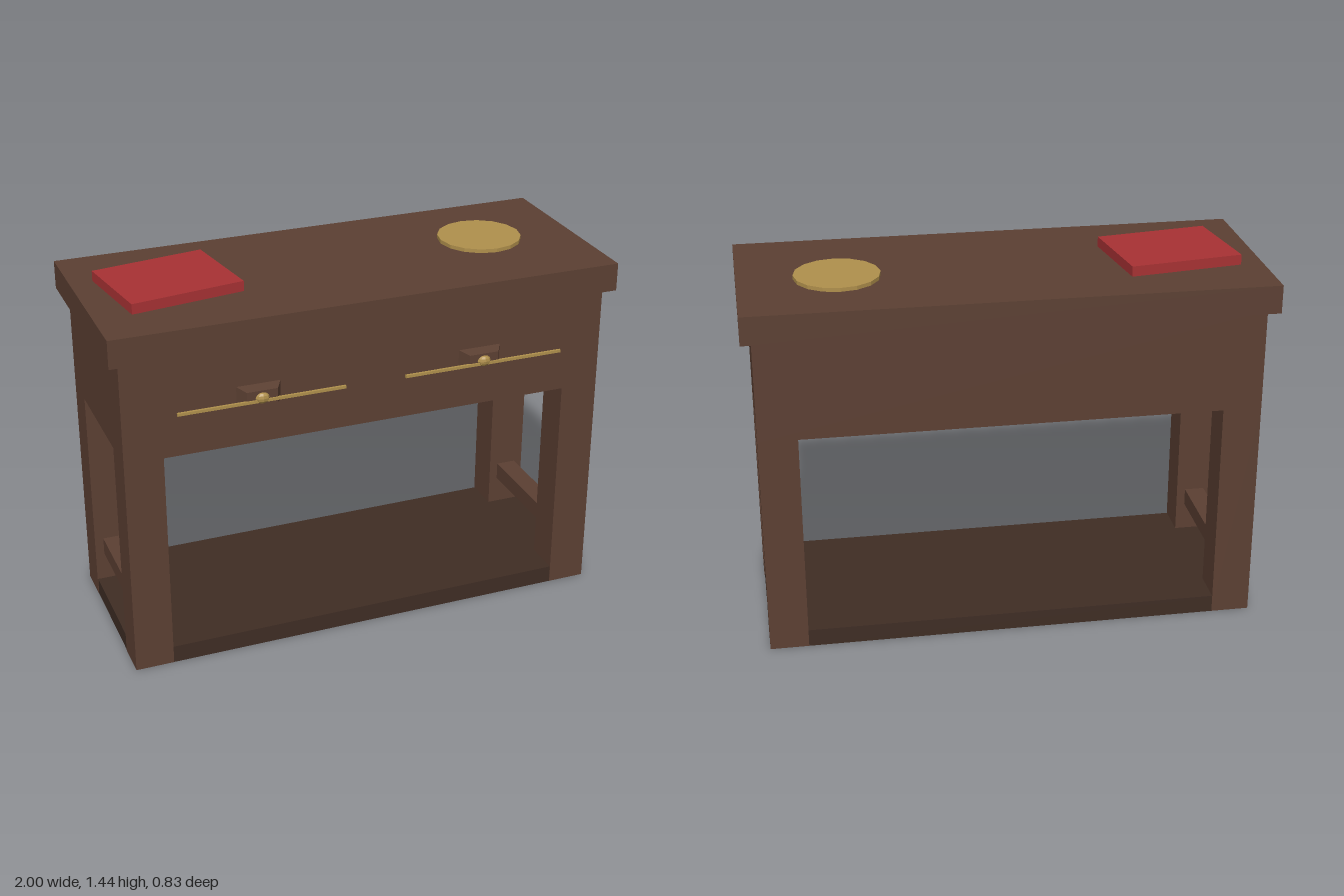
import * as THREE from 'three';

const paint = (color) => new THREE.MeshStandardMaterial({ color, flatShading: true });

export function createModel() {
  const wood = paint(0x5c4033);
  const darkWood = paint(0x3f2d24);
  const brass = paint(0xb0904c);
  const red = paint(0xa83234);

  const table = new THREE.Group();
  table.name = 'consoleTable';

  const add = (name, geometry, material, x, y, z) => {
    const mesh = new THREE.Mesh(geometry, material);
    mesh.name = name;
    mesh.position.set(x, y, z);
    table.add(mesh);
    return mesh;
  };

  // Box given by its lower and upper limits on each axis
  const box = (name, material, [x0, x1], [y0, y1], [z0, z1]) =>
    add(name, new THREE.BoxGeometry(x1 - x0, y1 - y0, z1 - z0), material,
      (x0 + x1) / 2, (y0 + y1) / 2, (z0 + z1) / 2);

  // Top, drawer case and bottom shelf
  box('tableTop', wood, [-1, 1], [1.29, 1.4], [-0.415, 0.39]);
  box('drawerCase', wood, [-0.96, 0.96], [0.89, 1.29], [-0.375, 0.355]);
  box('bottomShelf', darkWood, [-0.958, 0.958], [0, 0.07], [-0.373, 0.353]);

  // Block handle, narrowing towards the front
  const pullGeometry = new THREE.BoxGeometry(0.17, 0.075, 0.045);
  const p = pullGeometry.attributes.position;
  for (let i = 0; i < p.count; i++) {
    if (p.getZ(i) > 0) p.setXY(i, p.getX(i) * 0.7, p.getY(i) * 0.78);
  }
  pullGeometry.computeVertexNormals();

  for (const s of [-1, 1]) {
    const side = s > 0 ? 'left' : 'right';
    const span = (a, b) => (s > 0 ? [a, b] : [-b, -a]);

    // Legs and the stretcher joining them
    box(side + 'FrontLeg', wood, span(0.81, 0.96), [0.001, 0.89], [0.21, 0.355]);
    box(side + 'BackLeg', wood, span(0.81, 0.96), [0.001, 0.89], [-0.375, -0.23]);
    box(side + 'Stretcher', wood, span(0.845, 0.925), [0.185, 0.255], [-0.23, 0.21]);

    // Drawer handle, brass knob and thin brass rod
    add(side + 'DrawerPull', pullGeometry, wood, s * 0.443, 1.09, 0.3775);
    const knob = add(side + 'Knob', new THREE.SphereGeometry(0.027, 8, 6), brass, s * 0.443, 1.09, 0.4);
    knob.scale.set(1, 0.8, 0.55);
    box(side + 'BrassRod', brass, span(0.12, 0.765), [1.074, 1.085], [0.396, 0.406]);
  }

  // Objects on the table
  const book = add('book', new THREE.BoxGeometry(0.446, 0.04, 0.367), red, -0.664, 1.42, -0.016);
  book.rotation.y = 0.147;
  add('brassPlate', new THREE.CylinderGeometry(0.165, 0.165, 0.015, 16), brass, 0.622, 1.4075, -0.05);

  return table;
}
